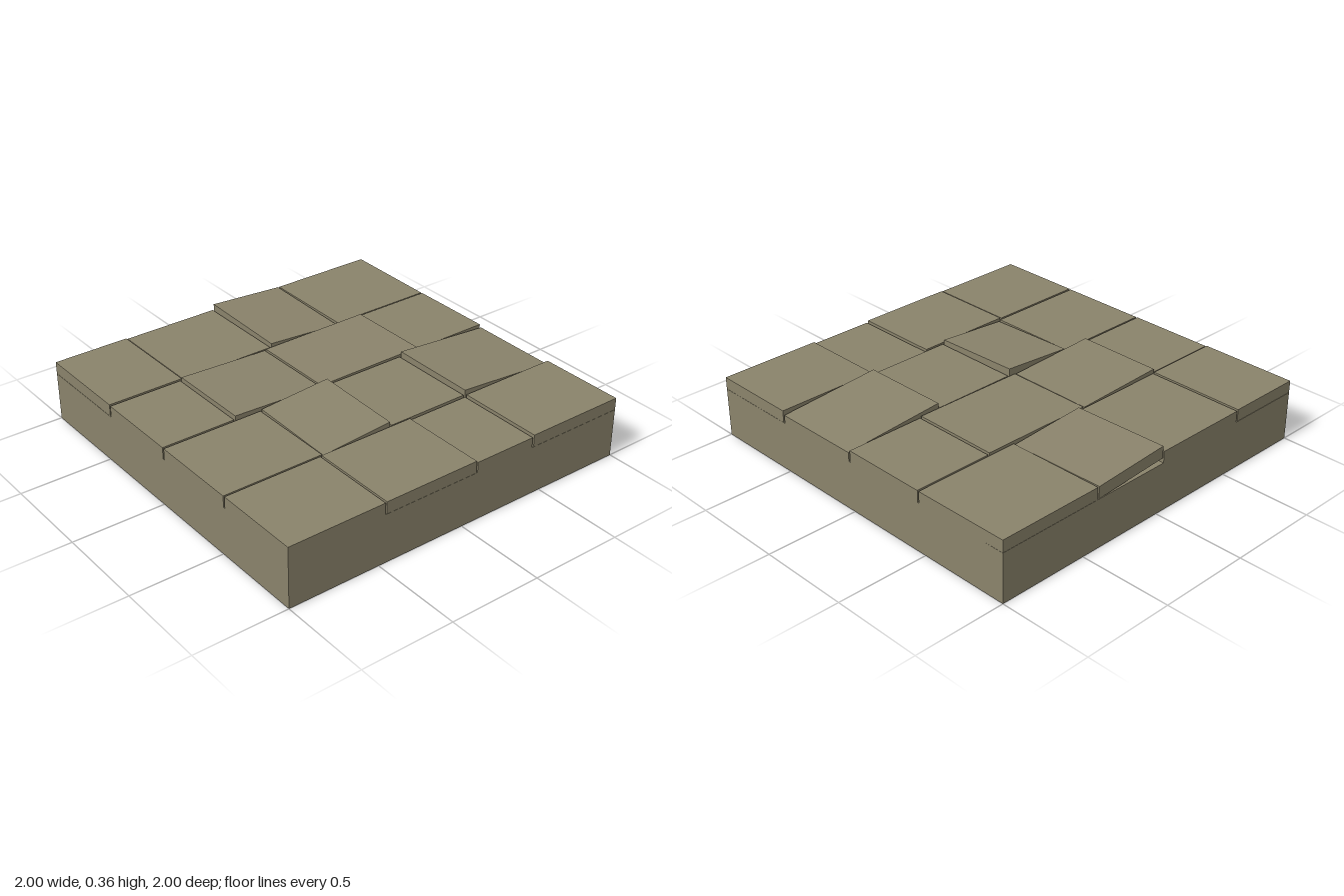
import * as THREE from 'three';

const BASE_TOP = 0.265;
const THICK = 0.065;

// Rows of paving: z range, then tiles as [x0, x1, top height at centre, slope along x, slope along z]
const rows = [
  { z0: -1, z1: -0.465, tiles: [
    [-1, -0.582, 0.332, 0, 0],
    [-0.574, -0.036, 0.327, 0, 0],
    [-0.028, 0.404, 0.339, -0.065, -0.025],
    [0.412, 1, 0.329, 0, -0.008],
  ] },
  { z0: -0.457, z1: 0.016, tiles: [
    [-1, -0.596, 0.328, 0, 0],
    [-0.588, -0.076, 0.336, -0.038, 0.004],
    [-0.068, 0.56, 0.333, 0.008, 0],
    [0.568, 1, 0.328, 0, 0],
  ] },
  { z0: 0.026, z1: 0.516, tiles: [
    [-1, -0.448, 0.327, 0, 0],
    [-0.44, -0.04, 0.342, 0.075, -0.03],
    [-0.03, 0.43, 0.328, 0, 0],
    [0.44, 1, 0.333, -0.075, -0.006],
  ] },
  { z0: 0.526, z1: 1, tiles: [
    [-1, -0.466, 0.328, 0, 0],
    [-0.458, 0.076, 0.331, 0, 0],
    [0.084, 0.432, 0.321, 0, 0],
    [0.442, 1, 0.331, 0, 0],
  ] },
];

// A slab whose top and underside tilt together while its sides stay upright
function makeTile(x0, x1, z0, z1, top, slopeX, slopeZ) {
  const geo = new THREE.BoxGeometry(x1 - x0, THICK, z1 - z0);
  const pos = geo.attributes.position;
  for (let i = 0; i < pos.count; i++) {
    pos.setY(i, pos.getY(i) + slopeX * pos.getX(i) + slopeZ * pos.getZ(i));
  }
  geo.computeVertexNormals();
  geo.translate((x0 + x1) / 2, top - THICK / 2, (z0 + z1) / 2);
  return geo;
}

export function createModel() {
  const model = new THREE.Group();
  model.name = 'stoneFloor';
  const stone = new THREE.MeshStandardMaterial({ name: 'stone', color: 0x8a836b });

  // Solid bed beneath the paving
  const base = new THREE.Mesh(new THREE.BoxGeometry(2, BASE_TOP, 2), stone);
  base.name = 'base';
  base.position.y = BASE_TOP / 2;
  model.add(base);

  // Uneven paving stones
  rows.forEach(({ z0, z1, tiles }, r) => {
    const row = new THREE.Group();
    row.name = `pavingRow${r + 1}`;
    tiles.forEach(([x0, x1, top, sx, sz], c) => {
      const tile = new THREE.Mesh(makeTile(x0, x1, z0, z1, top, sx, sz), stone);
      tile.name = `pavingStone${r + 1}_${c + 1}`;
      row.add(tile);
    });
    model.add(row);
  });
  return model;
}
